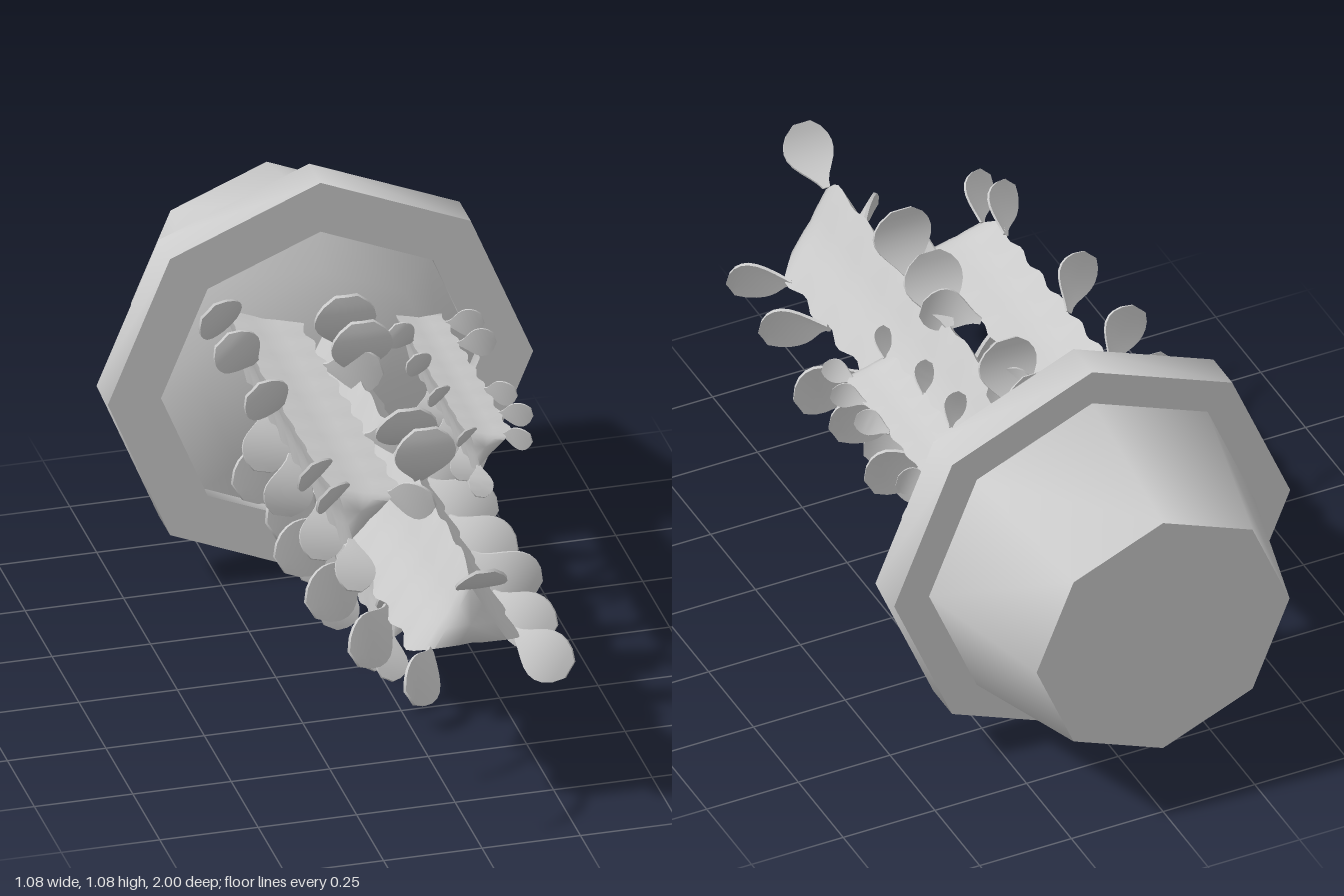
import * as THREE from 'three';
import { toCreasedNormals } from 'three/addons/utils/BufferGeometryUtils.js';

const CY = 0.54; // height of the pot axis, which lies along z
const material = new THREE.MeshStandardMaterial({ color: 0xcccccc });

function addMesh(parent, name, geometry, crease) {
  const mesh = new THREE.Mesh(toCreasedNormals(geometry, crease), material);
  mesh.name = name;
  parent.add(mesh);
  return mesh;
}

// Eight-sided turned shape whose axis runs along z
function turned(profile) {
  const points = profile.map(([r, z]) => new THREE.Vector2(r, z));
  return new THREE.LatheGeometry(points, 8).rotateX(Math.PI / 2).translate(0, CY, 0);
}

// Three-ridged stem with scalloped ridges and a tapered tip; one ridge at +x
function stemGeometry(radius, z0, z1, period) {
  const length = z1 - z0;
  const rows = Math.round((length / period) * 6);
  const geo = new THREE.CylinderGeometry(1, 1, length, 12, rows);
  geo.rotateX(Math.PI / 2).translate(0, 0, (z0 + z1) / 2).rotateZ(-Math.PI / 6);
  const pos = geo.attributes.position;
  for (let i = 0; i < pos.count; i++) {
    const x = pos.getX(i), y = pos.getY(i), z = pos.getZ(i);
    if (Math.hypot(x, y) < 0.5) continue;
    const angle = Math.atan2(y, x);
    const step = ((Math.round(angle / (Math.PI / 6)) % 4) + 4) % 4;
    const section = [1, 0.55, 0.45, 0.55][step];
    const fromTip = z1 - z;
    const wave = 1 + 0.06 * Math.cos(((fromTip - period * 0.6) / period) * Math.PI * 2);
    const taper = 1 - 0.3 * Math.max(0, 1 - fromTip / (period * 0.5)) ** 2;
    const r = radius * section * (step === 0 ? wave : 1 + (wave - 1) * 0.5) * taper;
    pos.setXY(i, Math.cos(angle) * r, Math.sin(angle) * r);
  }
  return geo;
}

// Thin spoon-shaped leaf growing along +x, bending from forward (+z) to outward
function leafGeometry(length, width, tilt) {
  const geo = new THREE.BoxGeometry(1, 1, 1, 9, 2, 1);
  const pos = geo.attributes.position;
  const outline = [0.14, 0.24, 0.42, 0.64, 0.84, 0.97, 1, 0.93, 0.74, 0.36];
  for (let i = 0; i < pos.count; i++) {
    const t = pos.getX(i) + 0.5;
    const v = pos.getY(i) * 2;
    const half = (width / 2) * outline[Math.round(t * 9)];
    const bow = length * 0.5 * (t - t * t) + half * 0.04 * (1 - v * v);
    const off = bow + pos.getZ(i) * length * 0.045;
    pos.setXYZ(
      i,
      Math.sin(tilt) * length * t - Math.cos(tilt) * off,
      v * half,
      Math.cos(tilt) * length * t + Math.sin(tilt) * off
    );
  }
  return geo;
}

// Stem plus its three rows of leaves; rows list where each leaf leaves its ridge
function addStem(parent, { name, x, y, angle, radius, tip, leaf, period, rows }) {
  const group = new THREE.Group();
  group.name = name;
  group.position.set(x, y, 0);
  parent.add(group);
  const stem = addMesh(group, 'ribbedStem', stemGeometry(radius, -0.52, tip, period), 1.75);
  stem.rotation.z = angle;
  rows.forEach((row, k) => {
    row.forEach((z, i) => {
      const age = Math.min(1, (tip - z) / 0.5);
      const size = leaf * (0.92 + 0.08 * age);
      const width = leaf * (0.68 + 0.14 * age);
      const tilt = 0.58 + 0.5 * Math.sqrt(age) + (i ? 0.16 * Math.sin(i * 2.3 + k * 1.7) : 0);
      const blade = leafGeometry(size, width, tilt);
      blade.translate(radius * (tip - z < 0.04 ? 0.72 : 0.96), 0, z);
      addMesh(group, 'leaf', blade, 0.9).rotation.z = angle + (k * Math.PI * 2) / 3;
    });
  });
}

export function createModel() {
  const model = new THREE.Group();
  model.name = 'pottedSucculent';

  // Pot with its wide rim, and the low mound of soil inside
  addMesh(model, 'pot', turned([
    [0, -1], [0.345, -1], [0.445, -0.605], [0.54, -0.605],
    [0.54, -0.5], [0.405, -0.5], [0.405, -0.56],
  ]), 0.85);
  addMesh(model, 'soil', turned([[0.405, -0.54], [0.3, -0.49], [0.16, -0.46], [0, -0.45]]), 0.85);

  const deg = Math.PI / 180;
  addStem(model, {
    name: 'mainStem', x: 0.01, y: 0.545, angle: 90 * deg,
    radius: 0.16, tip: 0.86, leaf: 0.19, period: 0.14,
    rows: [
      [0.855, 0.37, 0.17, -0.22, -0.38],
      [0.85, 0.57, 0.3, 0.06, -0.14, -0.34],
      [0.77, 0.57, 0.36, 0.16, -0.04, -0.24],
    ],
  });
  addStem(model, {
    name: 'upperRightStem', x: -0.165, y: 0.685, angle: 15 * deg,
    radius: 0.112, tip: 0.47, leaf: 0.155, period: 0.11,
    rows: [
      [0.43, 0.14, -0.24],
      [0.46, 0.37, 0.02, -0.22, -0.44],
      [0.46, 0.2, -0.06, -0.3],
    ],
  });
  addStem(model, {
    name: 'upperLeftStem', x: 0.24, y: 0.645, angle: 15 * deg,
    radius: 0.076, tip: 0.15, leaf: 0.095, period: 0.08,
    rows: [
      [0.12, 0.02, -0.11, -0.36, -0.47],
      [0.14, -0.05, -0.2, -0.34],
      [0.14, 0, -0.15, -0.3],
    ],
  });
  addStem(model, {
    name: 'lowerStem', x: -0.005, y: 0.3, angle: 1 * deg,
    radius: 0.095, tip: 0.32, leaf: 0.135, period: 0.1,
    rows: [
      [0.3, 0.21, 0.02, -0.22],
      [0.31, 0.17, -0.02, -0.16, -0.38],
      [0.3, 0.19, -0.06, -0.31, -0.43],
    ],
  });
  return model;
}
